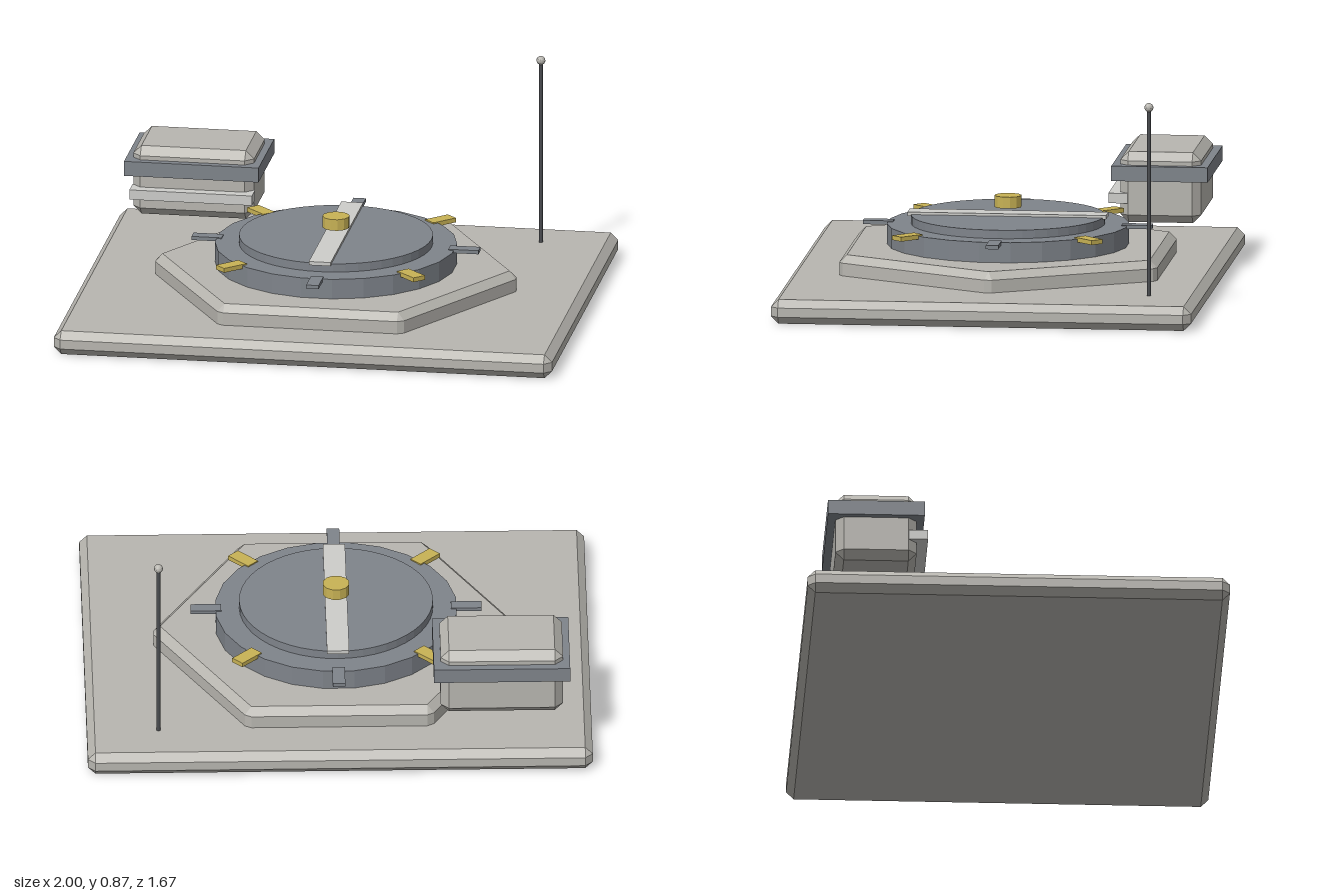
import * as THREE from 'three';
import { ConvexGeometry } from 'three/addons/geometries/ConvexGeometry.js';

const material = (name, color) => {
  const m = new THREE.MeshStandardMaterial({ color });
  m.name = name;
  return m;
};

// Prism with every edge chamfered by c; corners are the already inset outline [x, z]
function chamferedPrism(corners, y0, y1, c) {
  const points = [];
  const n = corners.length;
  const normal = (i) => {
    const [ax, az] = corners[i % n];
    const [bx, bz] = corners[(i + 1) % n];
    const l = Math.hypot(bx - ax, bz - az);
    return [(bz - az) / l, -(bx - ax) / l];
  };
  corners.forEach(([x, z], i) => {
    points.push(new THREE.Vector3(x, y0, z), new THREE.Vector3(x, y1, z));
    for (const [nx, nz] of [normal(i + n - 1), normal(i)]) {
      points.push(new THREE.Vector3(x + c * nx, y0 + c, z + c * nz));
      points.push(new THREE.Vector3(x + c * nx, y1 - c, z + c * nz));
    }
  });
  return new ConvexGeometry(points);
}

function chamferedBox(x0, x1, y0, y1, z0, z1, c) {
  const a = x0 + c, b = x1 - c, d = z0 + c, e = z1 - c;
  return chamferedPrism([[a, d], [b, d], [b, e], [a, e]], y0, y1, c);
}

function box(x0, x1, y0, y1, z0, z1) {
  return new THREE.BoxGeometry(x1 - x0, y1 - y0, z1 - z0)
    .translate((x0 + x1) / 2, (y0 + y1) / 2, (z0 + z1) / 2);
}

function cylinder(r, y0, y1, sides, turn = 0) {
  return new THREE.CylinderGeometry(r, r, y1 - y0, sides)
    .rotateY(turn).translate(0, (y0 + y1) / 2, 0);
}

export function createModel() {
  const hull = material('hull grey', 0xb8b6b0);
  const steel = material('blue steel', 0x7f848b);
  const trim = material('light trim', 0xcdcdca);
  const gold = material('gold', 0xc8b255);
  const dark = material('dark metal', 0x4a4c50);
  for (const m of [hull, steel, gold]) m.flatShading = true;

  const model = new THREE.Group();
  model.name = 'landingPlatform';
  const add = (name, geometry, mat, parent = model) => {
    const mesh = new THREE.Mesh(geometry, mat);
    mesh.name = name;
    parent.add(mesh);
    return mesh;
  };

  // Ground slab and hexagonal plinth
  add('baseSlab', chamferedBox(-1, 1, 0, 0.097, -0.837, 0.837, 0.03), hull);
  const hexagon = Array.from({ length: 6 }, (_, i) => {
    const a = (i * Math.PI) / 3;
    return [0.697 * Math.cos(a), 0.697 * Math.sin(a)];
  });
  add('hexPlinth', chamferedPrism(hexagon, 0.055, 0.178, 0.03), hull);

  // Round hatch with raised lid, seam strip and knob
  const hatch = new THREE.Group();
  hatch.name = 'hatch';
  model.add(hatch);
  add('hatchRing', cylinder(0.48, 0.17, 0.259, 24, Math.PI / 24), steel, hatch);
  add('hatchLid', cylinder(0.384, 0.255, 0.293, 48), steel, hatch);
  add('seamStrip', box(-0.044, 0.044, 0.288, 0.303, -0.396, 0.396), trim, hatch);
  add('knob', cylinder(0.054, 0.325, 0.371, 12, Math.PI / 12), gold, hatch);

  // Latches around the ring, alternating steel and gold
  for (let i = 0; i < 8; i++) {
    const isGold = i % 2 === 1;
    const geometry = isGold
      ? box(0.455, 0.565, 0.246, 0.264, -0.028, 0.028)
      : box(0.455, 0.576, 0.248, 0.263, -0.025, 0.025);
    add(isGold ? 'goldLatch' : 'steelLatch', geometry, isGold ? gold : steel, hatch)
      .rotation.y = (i * Math.PI) / 4;
  }

  // Control cabin at the back corner
  const cabin = new THREE.Group();
  cabin.name = 'controlCabin';
  model.add(cabin);
  add('cabinBody', chamferedBox(-0.885, -0.4, 0.2, 0.483, -0.722, -0.4, 0.033), hull, cabin);
  add('cabinBand', box(-0.912, -0.372, 0.373, 0.433, -0.754, -0.37), steel, cabin);
  add('cabinLedge', box(-0.888, -0.396, 0.28, 0.32, -0.432, -0.356), trim, cabin);

  // Antenna mast with ball tip
  const antenna = new THREE.Group();
  antenna.name = 'antenna';
  antenna.position.set(0.717, 0, -0.641);
  model.add(antenna);
  add('mast', cylinder(0.008, 0.09, 0.845, 10), dark, antenna);
  add('mastTip', new THREE.SphereGeometry(0.018, 12, 8).translate(0, 0.852, 0), hull, antenna);

  return model;
}
